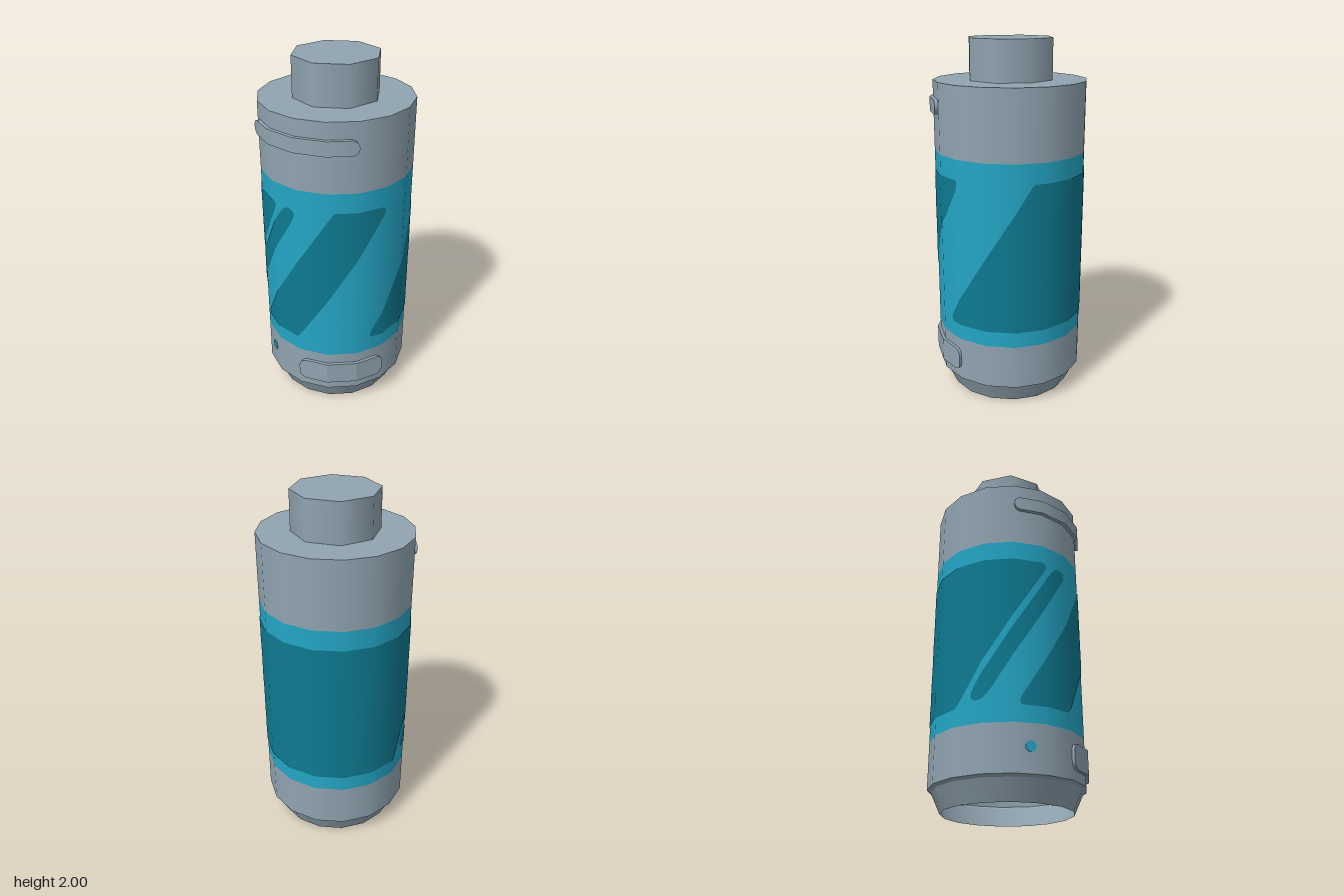
import * as THREE from 'three';
import { mergeGeometries } from 'three/addons/utils/BufferGeometryUtils.js';

const SIDES = 16, R = 0.42, STEP = 360 / SIDES, DEG = Math.PI / 180;

// Point on the 16-sided wall at an angle (degrees from +z towards +x), raised by lift
function wallPoint(deg, y, lift) {
  const local = ((deg % STEP) + STEP) % STEP - STEP / 2;
  const r = (R + lift) * Math.cos(STEP / 2 * DEG) / Math.cos(local * DEG);
  return [r * Math.sin(deg * DEG), y, r * Math.cos(deg * DEG)];
}

// Plate wrapped on the wall. corners = angle insets [bottomLeft, bottomRight, topLeft, topRight]
function wrappedPlate({ from, to, y0, y1, shift = 0, corners, round, lift, flat = false, skirt = true, rows = 44 }) {
  const cols = Math.max(2, Math.ceil((to - from) / 2.25)), w = cols + 1;
  const pos = [], nor = [], idx = [], base = [];
  const cut = d => d >= round ? 0 : 1 - Math.sqrt(Math.max(0, 1 - (1 - d / round) ** 2));
  for (let i = 0; i <= rows; i++) {
    const t = (1 - Math.cos(Math.PI * i / rows)) / 2, y = y0 + (y1 - y0) * t;
    const low = cut(y - y0), high = cut(y1 - y);
    const left = from + shift * t + corners[0] * low + corners[2] * high;
    const right = to + shift * t - corners[1] * low - corners[3] * high;
    for (let j = 0; j <= cols; j++) {
      const a = left + (right - left) * j / cols;
      pos.push(...wallPoint(a, y, lift));
      base.push(wallPoint(a, y, -0.002));
      nor.push(Math.sin(a * DEG), 0, Math.cos(a * DEG));
      if (i < rows && j < cols) {
        const k = i * w + j;
        idx.push(k, k + 1, k + w, k + 1, k + w + 1, k + w);
      }
    }
  }
  const face = new THREE.BufferGeometry();
  face.setAttribute('position', new THREE.Float32BufferAttribute(pos, 3));
  face.setAttribute('normal', new THREE.Float32BufferAttribute(nor, 3));
  face.setIndex(idx);
  if (flat) face.computeVertexNormals();
  if (!skirt) return face;

  // Side wall around the rim of the plate
  const rim = [];
  for (let j = 0; j < cols; j++) rim.push(j);
  for (let i = 0; i < rows; i++) rim.push(i * w + cols);
  for (let j = cols; j > 0; j--) rim.push(rows * w + j);
  for (let i = rows; i > 0; i--) rim.push(i * w);
  const side = [], top = k => pos.slice(k * 3, k * 3 + 3);
  rim.forEach((p, n) => {
    const q = rim[(n + 1) % rim.length];
    side.push(...top(p), ...base[p], ...top(q), ...top(q), ...base[p], ...base[q]);
  });
  const wall = new THREE.BufferGeometry();
  wall.setAttribute('position', new THREE.Float32BufferAttribute(side, 3));
  wall.computeVertexNormals();
  return mergeGeometries([face.toNonIndexed(), wall]);
}

export function createModel() {
  const model = new THREE.Group();
  model.name = 'canister';
  const material = (name, color, side = THREE.FrontSide) => {
    const m = new THREE.MeshStandardMaterial({ color, side });
    m.name = name;
    return m;
  };
  const grey = material('blueGrey', 0x90a4b1, THREE.DoubleSide);
  const teal = material('teal', 0x24a6c6, THREE.DoubleSide);
  const darkTeal = material('darkTeal', 0x0e7a91, THREE.DoubleSide);

  const add = (name, geometry, mat) => {
    const mesh = new THREE.Mesh(geometry, mat);
    mesh.name = name;
    mesh.position.z = -0.01;
    model.add(mesh);
    return mesh;
  };
  const drum = (name, rTop, rBottom, y0, y1, open, mat, sides = SIDES) =>
    add(name, new THREE.CylinderGeometry(rTop, rBottom, y1 - y0, sides, 1, open).translate(0, (y0 + y1) / 2, 0), mat);

  // Hollow base with chamfered foot, open underneath
  drum('footChamfer', 0.4, 0.35, 0, 0.108, true, grey);
  drum('footLip', R, 0.4, 0.108, 0.12, true, grey);
  drum('baseWall', R, R, 0.12, 0.37, true, grey);
  add('baseCeiling', new THREE.CircleGeometry(R, SIDES).rotateX(Math.PI / 2).translate(0, 0.36, 0), grey);

  // Coloured middle, upper collar and octagonal neck
  drum('middleBand', R, R, 0.37, 1.4, true, teal);
  drum('upperCollar', R, R, 1.4, 1.78, false, grey);
  drum('neck', 0.238, 0.238, 1.78, 2, false, grey, 8);

  // Slanted painted stripes around the middle
  const stripe = (name, from, to, y0, y1, corners, round) =>
    add(name, wrappedPlate({ from, to, y0, y1, shift: 86 * (y1 - y0), corners, round, lift: 0.004, skirt: false }), darkTeal);
  stripe('frontStripe', -44, -1.5, 0.46, 1.29, [5, 1, 1, 6], 0.06);
  stripe('thinStripe', -80, -66, 0.49, 1.28, [8, 3, 3, 8], 0.07);
  stripe('backStripe', 54, 272, 0.46, 1.29, [5, 1, 1, 6], 0.06);

  // Raised rounded strip on the collar
  add('collarStrip', wrappedPlate({
    from: -44.5, to: 44.5, y0: 1.61, y1: 1.69, corners: [5, 5, 5, 5], round: 0.04, lift: 0.02, rows: 14,
  }), grey);

  // Three-part button, one part for each wall facet
  [[6, 0, 6, 0], [0, 0, 0, 0], [0, 6, 0, 6]].forEach((corners, n) => add('buttonPart' + (n + 1), wrappedPlate({
    from: n * STEP, to: (n + 1) * STEP, y0: 0.175, y1: 0.308, corners, round: 0.045, lift: 0.017, flat: true, rows: 20,
  }), grey));

  // Indicator dot, going through the wall
  const dot = add('indicatorDot', new THREE.CylinderGeometry(0.028, 0.028, 0.008, 16).rotateX(Math.PI / 2), teal);
  const a = -1.5 * STEP * DEG, r = R * Math.cos(STEP / 2 * DEG);
  dot.position.set(r * Math.sin(a), 0.255, r * Math.cos(a) - 0.01);
  dot.rotation.y = a;

  return model;
}
